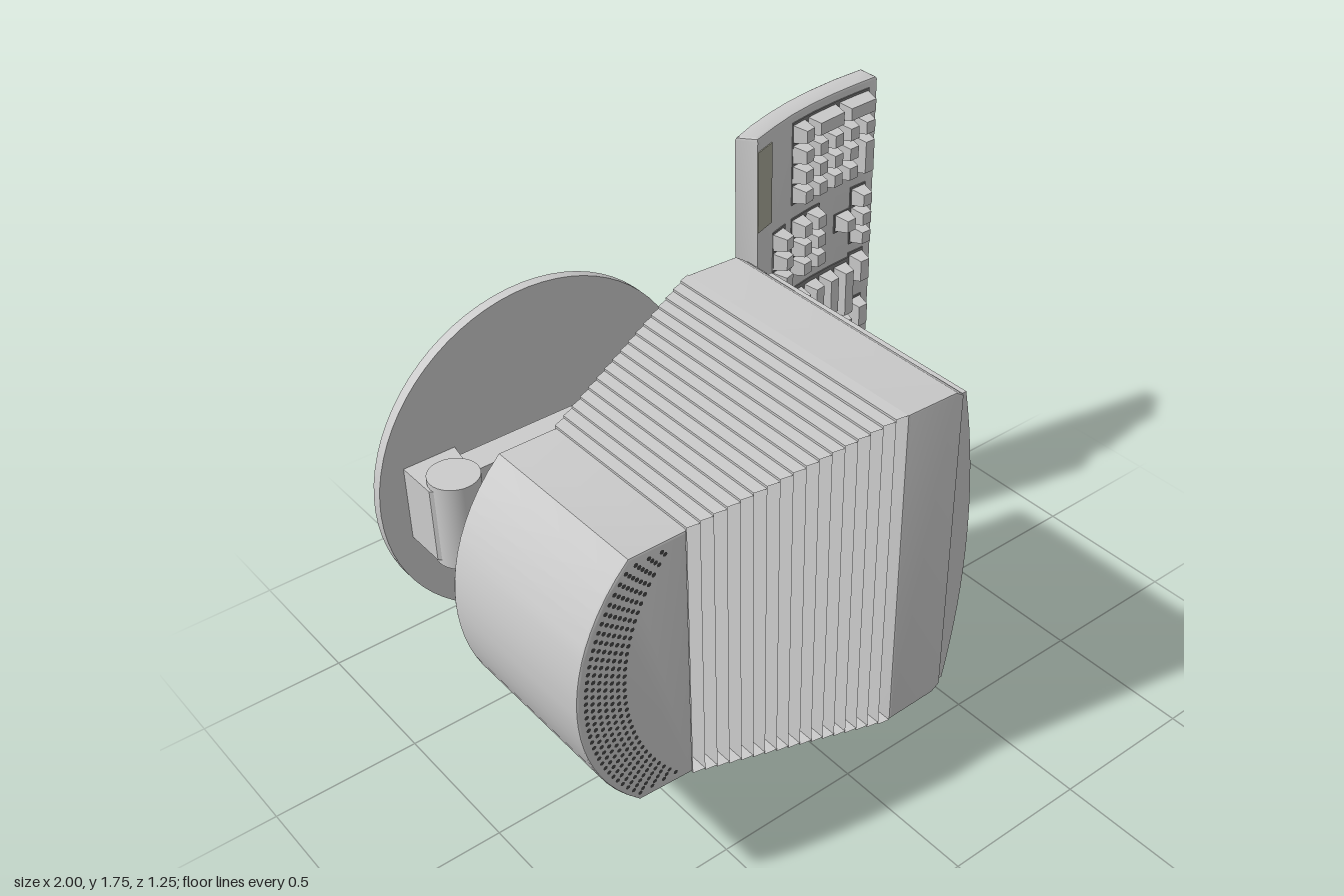
import * as THREE from 'three';
import { mergeGeometries, toCreasedNormals } from 'three/addons/utils/BufferGeometryUtils.js';

const mat = (color, side = THREE.FrontSide) => new THREE.MeshStandardMaterial({ color, side });
const GREY = mat(0xcccccc), THIN = mat(0xcccccc, THREE.DoubleSide);
const DARK = mat(0x444444), WELL = mat(0x777777), PANEL = mat(0xa8a898);
const MID = 0.87; // height of the monitor's axis

function add(parent, name, geometry, material = GREY) {
  const mesh = new THREE.Mesh(geometry, material);
  mesh.name = name;
  parent.add(mesh);
}

// Prism from [x, y] points, running from z0 to z1
function prismZ(points, z0, z1, bevel = 0) {
  const shape = new THREE.Shape(points.map(p => new THREE.Vector2(p[0], p[1])));
  const geo = new THREE.ExtrudeGeometry(shape, {
    depth: z1 - z0 - 2 * bevel, bevelEnabled: bevel > 0, bevelSize: bevel,
    bevelThickness: bevel, bevelOffset: -bevel, bevelSegments: 2,
  });
  return toCreasedNormals(geo.translate(0, 0, z0 + bevel), 0.4);
}

// Prism from [x, z] points, running from y0 to y1
const prismY = (points, y0, y1, bevel = 0) =>
  prismZ(points.map(([x, z]) => [x, -z]), y0, y1, bevel).rotateX(-Math.PI / 2);

const box = (x0, x1, y0, y1, z0, z1) => new THREE.BoxGeometry(x1 - x0, y1 - y0, z1 - z0)
  .translate((x0 + x1) / 2, (y0 + y1) / 2, (z0 + z1) / 2);

const cylY = (x, z, r, y0, y1) =>
  new THREE.CylinderGeometry(r, r, y1 - y0, 32).translate(x, (y0 + y1) / 2, z);

// Bulged screen side of the bezel
const faceX = y => 0.345 - 0.2 * (y - MID) ** 2;
function bulged(y0, y1, z0, z1, inset) {
  const pts = [[0.255, y1], [0.255, y0]];
  for (let i = 0; i <= 16; i++) {
    const y = y0 + (y1 - y0) * i / 16;
    pts.push([faceX(y) - inset, y]);
  }
  return prismZ(pts, z0, z1);
}

// Four bulged pieces around an opening; each argument is [y0, y1, z0, z1]
function frame(o, n, inset) {
  return mergeGeometries([
    bulged(o[0], o[1], o[2], n[2], inset), bulged(o[0], o[1], n[3], o[3], inset),
    bulged(o[0], n[0], n[2], n[3], inset), bulged(n[1], o[1], n[2], n[3], inset),
  ]);
}

// Stepped, open-sided cooling fins between the rear cover and the front housing
function finGeometry(count) {
  const pos = [];
  const quad = (a, b, c, d) => pos.push(...a, ...b, ...c, ...a, ...c, ...d);
  const at = t => ({
    x: -0.62 + 0.67 * t, lo: 0.42 - 0.12 * t, hi: 1.31 + 0.13 * t,
    back: -0.1 - 0.25 * t, front: 0.5 + 0.12 * t,
  });
  for (let i = 0; i < count; i++) {
    const a = at(i / count), b = at((i + 1) / count);
    quad([a.x, b.lo, a.back], [a.x, b.lo, a.front], [a.x, b.hi, a.front], [a.x, b.hi, a.back]);
    quad([a.x, b.hi, a.back], [a.x, b.hi, a.front], [b.x, b.hi, b.front], [b.x, b.hi, b.back]);
    quad([a.x, b.lo, a.front], [a.x, b.lo, a.back], [b.x, b.lo, b.back], [b.x, b.lo, b.front]);
  }
  const geo = new THREE.BufferGeometry();
  geo.setAttribute('position', new THREE.Float32BufferAttribute(pos, 3));
  geo.computeVertexNormals();
  return geo;
}

function buildMonitor() {
  const g = new THREE.Group();
  g.name = 'monitor';
  add(g, 'frontHousing', prismZ([[0.05, 0.30], [0.235, 0.305], [0.265, 0.325], [0.265, 1.415],
    [0.235, 1.435], [0.05, 1.44]], -0.35, 0.62, 0.008));
  add(g, 'bezel', frame([0.33, 1.41, -0.235, 0.605], [0.41, 1.35, -0.165, 0.545], 0));
  add(g, 'innerBezel', frame([0.41, 1.35, -0.165, 0.545], [0.46, 1.28, -0.13, 0.50], 0.006));
  add(g, 'screen', bulged(0.46, 1.28, -0.13, 0.50, 0.016), DARK);

  // Control strip with a recessed panel and two buttons
  add(g, 'controlStrip', bulged(0.33, 1.25, -0.335, -0.245, 0));
  add(g, 'controlRecess', bulged(1.25, 1.41, -0.335, -0.245, 0.012));
  for (const y of [0.99, 1.11]) {
    add(g, 'button', new THREE.CylinderGeometry(0.012, 0.012, 0.015, 16)
      .rotateZ(Math.PI / 2).translate(faceX(y) + 0.004, y, -0.285));
  }
  add(g, 'coolingFins', finGeometry(17), THIN);

  // Rear cover with a rounded back
  const arcX = y => -0.396 - Math.sqrt(0.604 ** 2 - (y - MID) ** 2);
  const pts = [[-0.62, 0.42], [-0.62, 1.31]];
  for (let i = 0; i <= 20; i++) {
    const y = 1.31 - 0.88 * i / 20;
    pts.push([arcX(y), y]);
  }
  add(g, 'rearCover', prismZ(pts, -0.1, 0.5, 0.008));

  // Staggered vent holes following the curve
  const holes = [];
  for (let row = 0; row < 7; row++) {
    for (let i = 0; i < 34; i++) {
      const y = 0.46 + 0.0245 * (i + (row % 2) / 2);
      holes.push(new THREE.CircleGeometry(0.0075, 8)
        .translate(arcX(y) + 0.03 + row * 0.021, y, 0.5015));
    }
  }
  add(g, 'ventHoles', mergeGeometries(holes), DARK);
  return g;
}

function buildStand() {
  const g = new THREE.Group();
  g.name = 'stand';
  add(g, 'baseDisc', new THREE.CylinderGeometry(0.582, 0.582, 0.035, 72)
    .rotateX(Math.PI / 2).translate(-0.373, 0.867, -0.6025));
  add(g, 'arm', box(-0.77, -0.045, 0.75, 0.985, -0.56, -0.46));
  add(g, 'upperHinge', cylY(-0.045, -0.487, 0.082, 0.715, 1.02));
  add(g, 'monitorBracket', prismY([[-0.21, -0.345], [-0.21, -0.40], [-0.12, -0.515],
    [0.035, -0.49], [0.035, -0.345]], 0.73, 1.0));
  add(g, 'lowerHinge', cylY(-0.77, -0.445, 0.082, 0.72, 1.02));
  add(g, 'baseBracket', prismY([[-0.86, -0.585], [-0.86, -0.44], [-0.80, -0.38],
    [-0.70, -0.47], [-0.68, -0.585]], 0.74, 1.0));
  add(g, 'lockPin', box(-0.62, -0.58, 0.70, 0.75, -0.585, -0.555));
  add(g, 'lockLever', box(-0.80, -0.58, 0.69, 0.72, -0.43, -0.39));
  return g;
}

// Keyboard top and underside as [x, z] lines
const DECK = [[0.355, -0.495], [0.40, -0.44], [0.50, -0.475], [0.60, -0.505], [0.70, -0.525],
  [0.80, -0.537], [0.90, -0.544], [0.995, -0.547]];
const UNDERSIDE = [[0.995, -0.625], [0.87, -0.622], [0.75, -0.61], [0.64, -0.59], [0.55, -0.567],
  [0.45, -0.535]];
function deckZ(x) {
  const i = Math.max(1, DECK.findIndex(p => p[0] >= x));
  const [a, b] = [DECK[i - 1], DECK[i]];
  return a[1] + (b[1] - a[1]) * (x - a[0]) / (b[0] - a[0]);
}

// Thin patch lying on the deck
function patch(x0, x1, y0, y1) {
  const xs = [x0, ...DECK.map(p => p[0]).filter(x => x > x0 && x < x1), x1];
  return prismY([...xs.map(x => [x, deckZ(x) + 0.004]),
    ...xs.reverse().map(x => [x, deckZ(x) - 0.004])], y0, y1);
}

// Tapered key cap; w runs across the deck, h along it
function key(x, y, w, h) {
  const geo = new THREE.BoxGeometry(w, h, 0.055);
  const p = geo.attributes.position;
  for (let i = 0; i < p.count; i++) {
    if (p.getZ(i) > 0) {
      p.setX(i, p.getX(i) - Math.sign(p.getX(i)) * 0.012);
      p.setY(i, p.getY(i) - Math.sign(p.getY(i)) * 0.01);
    }
  }
  geo.computeVertexNormals();
  const slope = Math.atan2(deckZ(x + 0.03) - deckZ(x - 0.03), 0.06);
  return geo.rotateY(-slope).translate(x, y, deckZ(x) + 0.025);
}

function buildKeyboard() {
  const g = new THREE.Group();
  g.name = 'keyboard';
  add(g, 'case', prismY([...DECK, ...UNDERSIDE], 0, 1.745, 0.01));
  add(g, 'indicatorPanel', patch(0.40, 0.48, 1.42, 1.70), PANEL);

  const U = 0.0705, X = [0.63, 0.704, 0.778, 0.852, 0.926], TOP = 0.525;
  const wells = [[0.595, 0.89, 0.035, 1.11], [0.595, 0.96, 1.425, 1.715], [0.595, 0.74, 1.16, 1.375],
    [0.815, 0.89, 1.23, 1.30], [0.89, 0.96, 1.16, 1.375], [0.89, 0.96, 0.34, 0.825],
    [0.89, 0.96, 0.035, 0.15], [0.89, 0.96, 0.225, 0.335], [0.89, 0.96, 0.83, 0.94], [0.89, 0.96, 1.01, 1.125],
    [0.49, 0.56, 0.045, 0.115], [0.49, 0.56, 0.175, 0.455], [0.49, 0.56, 0.495, 0.78],
    [0.49, 0.56, 0.815, 1.10], [0.49, 0.56, 1.16, 1.375]];
  add(g, 'keyWells', mergeGeometries(wells.map(w => patch(...w))), WELL);

  const keys = [];
  const put = (x, y, units = 1, across = 1) =>
    keys.push(key(x, y, across * 0.074 - 0.012, units * U - 0.008));

  // Top row in groups
  put(TOP, 0.08);
  for (const start of [0.21, 0.53, 0.85]) for (let i = 0; i < 4; i++) put(TOP, start + i * U);
  for (let i = 0; i < 3; i++) put(TOP, 1.197 + i * U);

  // Typing rows: first key, number of single keys, last key
  [[1, 12, 2], [1.5, 12, 1.5], [1.75, 11, 2.25], [2.25, 10, 2.75]].forEach(([first, n, last], r) => {
    let y = 0.043;
    for (const u of [first, ...Array(n).fill(1), last]) {
      put(X[r], y + u * U / 2, u);
      y += u * U;
    }
  });
  for (const y of [0.092, 0.28, 0.885, 1.067]) put(X[4], y, 1.5);
  put(X[4], 0.582, 6.7);

  // Navigation and arrow keys
  for (let i = 0; i < 3; i++) {
    for (const x of [X[0], X[1], X[4]]) put(x, 1.197 + i * U);
  }
  put(X[3], 1.267);

  // Number pad
  const N = [1.463, 1.534, 1.605, 1.677];
  for (const x of X.slice(0, 4)) for (let i = 0; i < 3; i++) put(x, N[i]);
  put(X[0], N[3]);
  put((X[1] + X[2]) / 2, N[3], 1, 2);
  put((X[3] + X[4]) / 2, N[3], 1, 2);
  put(X[4], (N[0] + N[1]) / 2, 2);
  put(X[4], N[2]);
  add(g, 'keys', mergeGeometries(keys));
  return g;
}

export function createModel() {
  const model = new THREE.Group();
  model.name = 'computerTerminal';
  model.add(buildMonitor(), buildStand(), buildKeyboard());
  return model;
}
